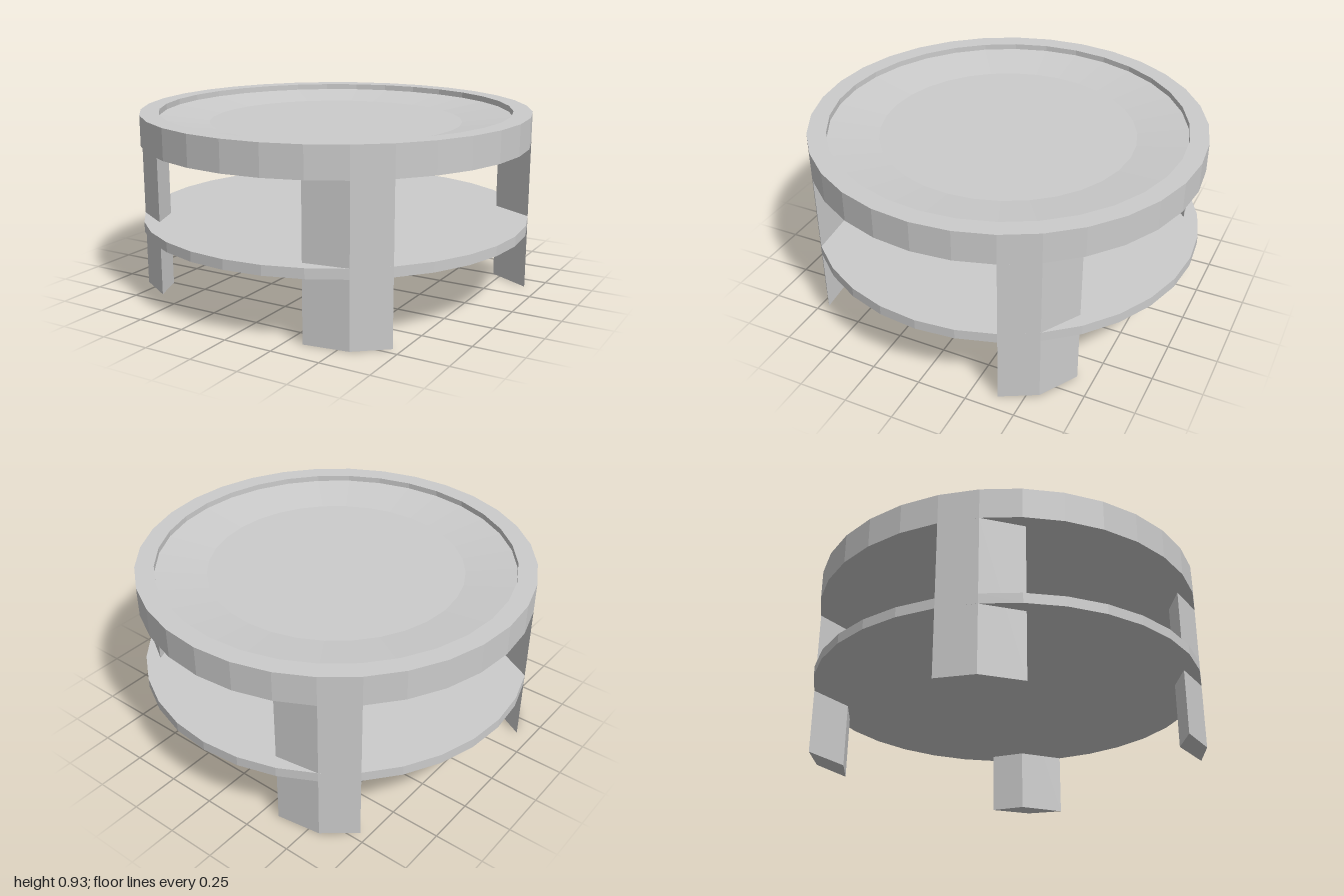
import * as THREE from 'three';

const SEGMENTS = 32;
const material = new THREE.MeshStandardMaterial({
  color: 0xcccccc,
  flatShading: true,
});

// Faceted round part from a [radius, height] profile, listed from the bottom up
function turned(name, profile) {
  const points = profile.map(([r, y]) => new THREE.Vector2(r, y));
  const mesh = new THREE.Mesh(new THREE.LatheGeometry(points, SEGMENTS), material);
  mesh.name = name;
  return mesh;
}

// Upright leg from a footprint of [x, z] corners
function leg(name, footprint, height) {
  const shape = new THREE.Shape(footprint.map(([x, z]) => new THREE.Vector2(x, -z)));
  const geometry = new THREE.ExtrudeGeometry(shape, { depth: height, bevelEnabled: false });
  geometry.rotateX(-Math.PI / 2);
  const mesh = new THREE.Mesh(geometry, material);
  mesh.name = name;
  return mesh;
}

export function createModel() {
  const table = new THREE.Group();
  table.name = 'roundTable';

  // Thick top with a raised rim and a shallow dished surface
  table.add(turned('tableTop', [
    [0, 0.775], [1, 0.775], [1, 0.93], [0.905, 0.93],
    [0.905, 0.9], [0.65, 0.868], [0, 0.868],
  ]));

  // Thin shelf between the legs
  table.add(turned('shelf', [[0, 0.335], [1, 0.335], [1, 0.385], [0, 0.385]]));

  // Two leg footprints, each repeated half a turn around the table
  const frontLeft = [[0.707, 0.707], [0.556, 0.831], [0.333, 0.865], [0.46, 0.733]];
  const backLeft = [[0.924, -0.383], [0.831, -0.556], [0.64, -0.67], [0.707, -0.5]];
  const halfTurn = (corners) => corners.map(([x, z]) => [-x, -z]);
  const legs = {
    frontLeftLeg: frontLeft,
    backLeftLeg: backLeft,
    backRightLeg: halfTurn(frontLeft),
    frontRightLeg: halfTurn(backLeft),
  };
  for (const [name, footprint] of Object.entries(legs)) {
    table.add(leg(name, footprint, 0.775));
  }

  return table;
}
